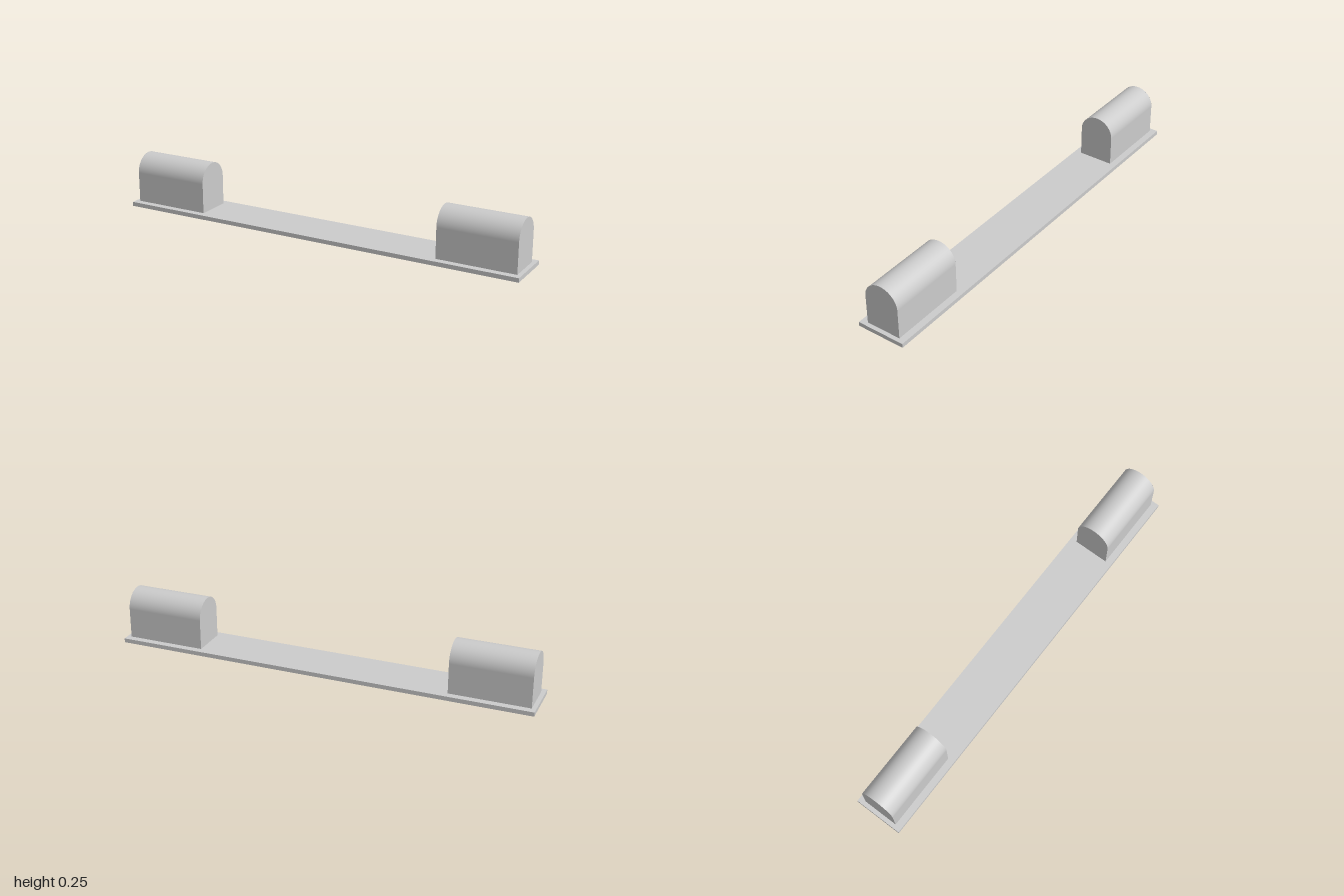
import * as THREE from 'three';

const material = new THREE.MeshStandardMaterial({ color: 0xcccccc, side: THREE.DoubleSide });
const baseH = 0.02, baseZ = 0.117;                    // base height and half depth
const radius = 0.085, spring = 0.163;                 // arch radius and height where it starts
const innerX = 0.605, outerX = 0.98, arcSteps = 24;

function add(parent, name, geometry) {
  const mesh = new THREE.Mesh(geometry, material);
  mesh.name = name;
  parent.add(mesh);
  return mesh;
}

// Walls and rounded roof as one smooth sheet, bent from a plane
function archSheet(length) {
  const rows = arcSteps + 2;
  const geometry = new THREE.PlaneGeometry(length, 1, 1, rows);
  const pos = geometry.attributes.position, normal = geometry.attributes.normal;
  for (let i = 0; i < pos.count; i++) {
    const row = Math.floor(i / 2);
    const step = THREE.MathUtils.clamp(row - 1, 0, arcSteps);
    const a = Math.PI * (1 - step / arcSteps);
    const foot = row === 0 || row === rows;
    pos.setY(i, foot ? baseH : spring + radius * Math.sin(a));
    pos.setZ(i, radius * Math.cos(a));
    normal.setXYZ(i, 0, Math.sin(a), Math.cos(a));
  }
  return geometry;
}

// Flat arched end panel
function archEnd() {
  const shape = new THREE.Shape();
  shape.moveTo(-radius, baseH);
  shape.lineTo(radius, baseH);
  shape.lineTo(radius, spring);
  shape.absarc(0, spring, radius, 0, Math.PI, false);
  shape.lineTo(-radius, baseH);
  return new THREE.ShapeGeometry(shape, arcSteps);
}

export function createModel() {
  const model = new THREE.Group();
  model.name = 'twinHousingCover';

  // Base plate, open beneath each housing
  const plate = new THREE.Shape([[-1, -1], [1, -1], [1, 1], [-1, 1]]
    .map(([x, z]) => new THREE.Vector2(x, z * baseZ)));
  for (const side of [-1, 1]) {
    const a = side * innerX, b = side * outerX;
    plate.holes.push(new THREE.Path([[a, -radius], [b, -radius], [b, radius], [a, radius]]
      .map(([x, z]) => new THREE.Vector2(x, z))));
  }
  add(model, 'basePlate', new THREE.ShapeGeometry(plate).rotateX(-Math.PI / 2).translate(0, baseH, 0));

  // Thin skirt around the plate
  for (const side of [-1, 1]) {
    const turn = side > 0 ? 0 : Math.PI;
    add(model, side > 0 ? 'frontSkirt' : 'backSkirt',
      new THREE.PlaneGeometry(2, baseH).rotateY(turn).translate(0, baseH / 2, side * baseZ));
    add(model, side > 0 ? 'leftSkirt' : 'rightSkirt',
      new THREE.PlaneGeometry(baseZ * 2, baseH).rotateY(side * Math.PI / 2).translate(side, baseH / 2, 0));
  }

  // Hollow arched housing at each end
  const length = outerX - innerX;
  for (const side of [-1, 1]) {
    const housing = new THREE.Group();
    housing.name = side > 0 ? 'leftHousing' : 'rightHousing';
    housing.position.x = side * (innerX + outerX) / 2;
    add(housing, 'archedShell', archSheet(length));
    for (const end of [-1, 1]) {
      add(housing, 'endPanel', archEnd().rotateY(end * Math.PI / 2).translate(end * length / 2, 0, 0));
    }
    model.add(housing);
  }
  return model;
}
